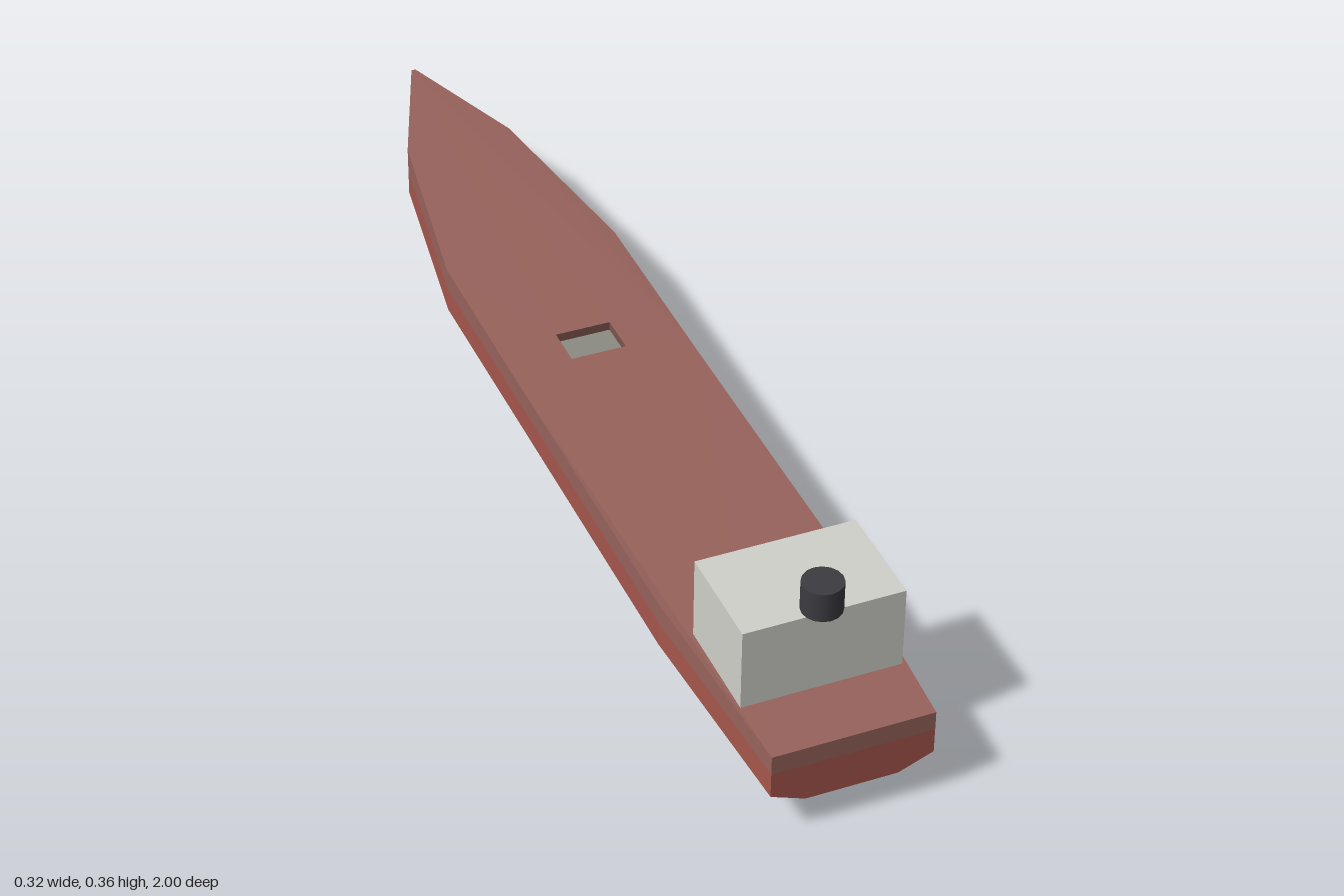
import * as THREE from 'three';

const paint = (color, extra = {}) => new THREE.MeshStandardMaterial({ color, flatShading: true, ...extra });

// Hull stations, stern to bow: z, half beam, deck height, keel half width, keel height
const STATIONS = [
  [1.0, 0.137, 0.160, 0.078, 0.056],
  [0.61, 0.16, 0.163, 0.088, 0.0],
  [0, 0.16, 0.163, 0.088, 0.0],
  [-0.37, 0.16, 0.166, 0.088, 0.0],
  [-0.75, 0.1, 0.174, 0.055, 0.02],
  [-1.0, 0.004, 0.18, 0.003, 0.079],
];
const STRAKE = 0.125, CHINE = 0.08;

// Cross-section from the left deck edge, under the keel, to the right deck edge
const SECTIONS = STATIONS.map(([z, w, deck, kw, ky]) => {
  const half = [[w, deck], [w, STRAKE], [w, CHINE], [kw, ky]];
  return [...half, ...half.slice().reverse().map(([x, y]) => [-x, y])].map(([x, y]) => [x, y, z]);
});

function quadsGeometry(quads) {
  const pos = quads.flatMap(([a, b, c, d]) => [a, b, c, a, c, d].flat());
  const g = new THREE.BufferGeometry();
  g.setAttribute('position', new THREE.Float32BufferAttribute(pos, 3));
  g.computeVertexNormals();
  return g;
}

// One lengthwise band of plating on both sides, with its stern and bow ends
function hullBand(j) {
  const quads = [];
  for (const k of new Set([j, 6 - j])) {
    for (let i = 0; i < SECTIONS.length - 1; i++) {
      const s = SECTIONS[i], t = SECTIONS[i + 1];
      quads.push([s[k], s[k + 1], t[k + 1], t[k]]);
    }
  }
  if (j < 3) {
    const s = SECTIONS[0], b = SECTIONS.at(-1);
    quads.push([s[7 - j], s[6 - j], s[j + 1], s[j]]);
    quads.push([b[j], b[j + 1], b[6 - j], b[7 - j]]);
  }
  return quadsGeometry(quads);
}

function deckHeight(z) {
  for (let i = 0; i < STATIONS.length - 1; i++) {
    const a = STATIONS[i], b = STATIONS[i + 1];
    if (z >= b[0]) return THREE.MathUtils.lerp(a[2], b[2], (a[0] - z) / (a[0] - b[0]));
  }
  return STATIONS.at(-1)[2];
}

export function createModel() {
  const ship = new THREE.Group();
  ship.name = 'cargoShip';
  const red = paint(0xa5564c), dullRed = paint(0x97625b);
  const white = paint(0xd0d0ca), dark = paint(0x2c2f36);

  const add = (name, geometry, material, x = 0, y = 0, z = 0, parent = ship) => {
    const mesh = new THREE.Mesh(geometry, material);
    mesh.name = name;
    mesh.position.set(x, y, z);
    parent.add(mesh);
    return mesh;
  };

  // Hull plating
  const hull = new THREE.Group();
  hull.name = 'hull';
  ship.add(hull);
  ['upperStrake', 'lowerSide', 'bilge', 'keelPlate'].forEach((name, j) =>
    add(name, hullBand(j), j === 0 ? dullRed : red, 0, 0, 0, hull));

  // Deck with a hatch opening, raised to follow the sheer
  const hatch = { w: 0.05, z0: -0.12, z1: -0.045, depth: 0.018 };
  const outline = [
    ...STATIONS.map(([z, w]) => new THREE.Vector2(w, -z)),
    ...STATIONS.slice().reverse().map(([z, w]) => new THREE.Vector2(-w, -z)),
  ];
  const deckShape = new THREE.Shape(outline);
  deckShape.holes.push(new THREE.Path([
    [-hatch.w, -hatch.z1], [-hatch.w, -hatch.z0], [hatch.w, -hatch.z0], [hatch.w, -hatch.z1],
  ].map(([x, y]) => new THREE.Vector2(x, y))));
  const deck = new THREE.ShapeGeometry(deckShape).rotateX(-Math.PI / 2);
  const p = deck.attributes.position;
  for (let i = 0; i < p.count; i++) p.setY(i, deckHeight(p.getZ(i)));
  deck.computeVertexNormals();
  add('deck', deck, dullRed);

  // Recessed hatch: four walls and a grey cover
  const zMid = (hatch.z0 + hatch.z1) / 2, top = deckHeight(zMid);
  const corners = [[-hatch.w, hatch.z0], [hatch.w, hatch.z0], [hatch.w, hatch.z1], [-hatch.w, hatch.z1]];
  const walls = corners.map(([x, z], i) => {
    const [u, v] = corners[(i + 1) % 4];
    const low = top - hatch.depth;
    return [[x, low, z], [u, low, v], [u, deckHeight(v), v], [x, deckHeight(z), z]];
  });
  add('hatchWalls', quadsGeometry(walls), paint(0x7d534d, { side: THREE.DoubleSide }));
  add('hatchCover', new THREE.BoxGeometry(hatch.w * 2, 0.004, hatch.z1 - hatch.z0),
    paint(0x8b8a82), 0, top - hatch.depth, zMid);

  // Deckhouse with window bands facing the bow
  const house = { w: 0.273, y0: 0.158, y1: 0.308, z0: 0.695, z1: 0.88 };
  add('deckhouse', new THREE.BoxGeometry(house.w, house.y1 - house.y0, house.z1 - house.z0), white,
    0, (house.y0 + house.y1) / 2, (house.z0 + house.z1) / 2);
  for (let i = 0; i < 3; i++) {
    add('windowBand', new THREE.BoxGeometry(0.248, 0.015, 0.004), dark, 0, 0.284 - i * 0.045, house.z0);
  }

  // Funnel
  add('funnel', new THREE.CylinderGeometry(0.034, 0.034, 0.053, 16),
    new THREE.MeshStandardMaterial({ color: 0x3c3c41 }), 0, 0.3345, 0.868);

  return ship;
}
